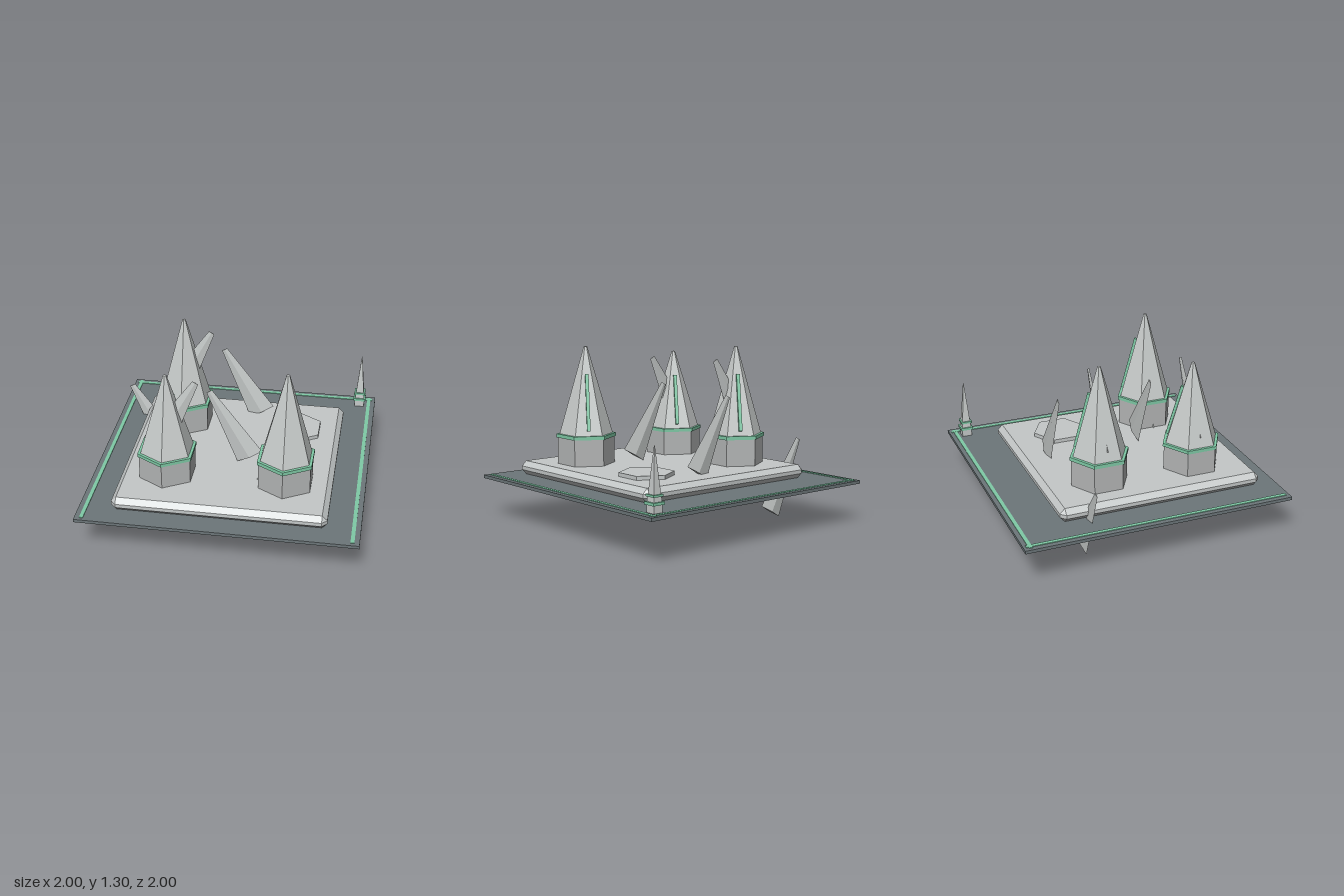
import * as THREE from 'three';
import { ConvexGeometry } from 'three/addons/geometries/ConvexGeometry.js';

function material(name, color) {
  const m = new THREE.MeshStandardMaterial({ color });
  m.name = name;
  m.flatShading = true;
  return m;
}

export function createModel() {
  const model = new THREE.Group();
  const darkStone = material('dark slate', 0x6c7679);
  const paleStone = material('pale stone', 0xc4c8c8);
  const wallStone = material('wall grey', 0xb4b6b6);
  const spireStone = material('spire grey', 0xc6cac9);
  const green = material('mint green', 0x7fcaa6);

  const add = (parent, name, geometry, mat, x = 0, y = 0, z = 0) => {
    const mesh = new THREE.Mesh(geometry, mat);
    mesh.name = name;
    mesh.position.set(x, y, z);
    parent.add(mesh);
    return mesh;
  };
  const box = (w, h, d) => new THREE.BoxGeometry(w, h, d);
  // prism or frustum between two heights
  const frustum = (parent, name, rTop, rBottom, y0, y1, sides, mat) =>
    add(parent, name, new THREE.CylinderGeometry(rTop, rBottom, y1 - y0, sides), mat, 0, (y0 + y1) / 2, 0);

  // Ground plate with green border lines on three sides
  add(model, 'groundPlate', box(2, 0.024, 2), darkStone, 0, 0.315, 0);
  for (const side of [-1, 1]) {
    add(model, 'sideBorder', box(0.027, 0.008, 1.955), green, side * 0.95, 0.328, -0.003);
  }
  add(model, 'backBorder', box(1.95, 0.007, 0.027), green, 0, 0.328, -0.953);

  // Plinth: a block with every edge chamfered
  const w = 0.765, h = 0.051, b = 0.037;
  const corners = [];
  for (const x of [-1, 1]) for (const y of [-1, 1]) for (const z of [-1, 1]) {
    corners.push(
      new THREE.Vector3(x * w, y * (h - b), z * (w - b)),
      new THREE.Vector3(x * (w - b), y * h, z * (w - b)),
      new THREE.Vector3(x * (w - b), y * (h - b), z * w));
  }
  add(model, 'plinth', new ConvexGeometry(corners), paleStone, 0, 0.378, 0.103);

  // Hexagonal towers; origin at the plinth top
  const tilt = Math.atan2(0.162, 0.651);
  function tower(x, z, stretch) {
    const g = new THREE.Group();
    g.name = 'tower';
    frustum(g, 'towerWall', 0.214, 0.214, 0, 0.2, 6, wallStone);
    frustum(g, 'towerBand', 0.223, 0.223, 0.198, 0.225, 6, green);
    frustum(g, 'towerSpire', 0.013, 0.2, 0.225, 0.876, 6, spireStone);
    // green rib up the middle of one rear face
    const face = new THREE.Group();
    face.name = 'spireRib';
    face.rotation.y = THREE.MathUtils.degToRad(150);
    add(face, 'rib', box(0.025, 0.425, 0.03), green, 0, 0.466, 0.118).rotation.x = -tilt;
    g.add(face);
    g.position.set(x, 0.429, z);
    g.scale.y = stretch;
    model.add(g);
  }
  tower(-0.43, -0.255, 1);
  tower(-0.43, 0.46, 0.914);
  tower(0.43, 0.46, 1);

  // Empty tower footing
  const footing = new THREE.CylinderGeometry(0.202, 0.202, 0.035, 6);
  add(model, 'towerFooting', footing, paleStone, 0.43, 0.44, -0.255);

  // Flat tapering shards, each from its wide end to its narrow end
  const shards = [
    [-0.608, 0.06, -0.90, 0.588, -0.46],
    [0.14, 0.483, -0.155, 1.007, 0.252],
    [0.133, 0.443, -0.16, 0.967, -0.46],
    [0.23, 0.268, 0.52, 0.795, 0.46],
    [-0.512, 0.682, -0.223, 1.21, -0.255],
    [-0.505, 0.66, -0.215, 1.188, 0.46],
  ];
  for (const [x0, y0, x1, y1, z] of shards) {
    const dx = x1 - x0, dy = y1 - y0;
    const geometry = new THREE.CylinderGeometry(0.023, 0.105, Math.hypot(dx, dy), 4);
    geometry.scale(1, 1, 0.21);
    const shard = add(model, 'shard', geometry, spireStone, (x0 + x1) / 2, (y0 + y1) / 2, z);
    shard.rotation.z = Math.atan2(-dx, dy);
  }

  // Small square corner spire with two green collars
  const corner = new THREE.Group();
  corner.name = 'cornerSpire';
  const square = (name, topHalf, bottomHalf, y0, y1, mat) => {
    frustum(corner, name, topHalf * Math.SQRT2, bottomHalf * Math.SQRT2, y0, y1, 4, mat).rotation.y = Math.PI / 4;
  };
  square('cornerBase', 0.037, 0.037, 0.325, 0.38, spireStone);
  square('lowerCollar', 0.047, 0.047, 0.38, 0.4, green);
  square('cornerShaft', 0.032, 0.035, 0.4, 0.434, spireStone);
  square('upperCollar', 0.042, 0.042, 0.434, 0.449, green);
  square('cornerPoint', 0.002, 0.03, 0.449, 0.765, spireStone);
  corner.position.set(0.877, 0, -0.882);
  model.add(corner);

  return model;
}
